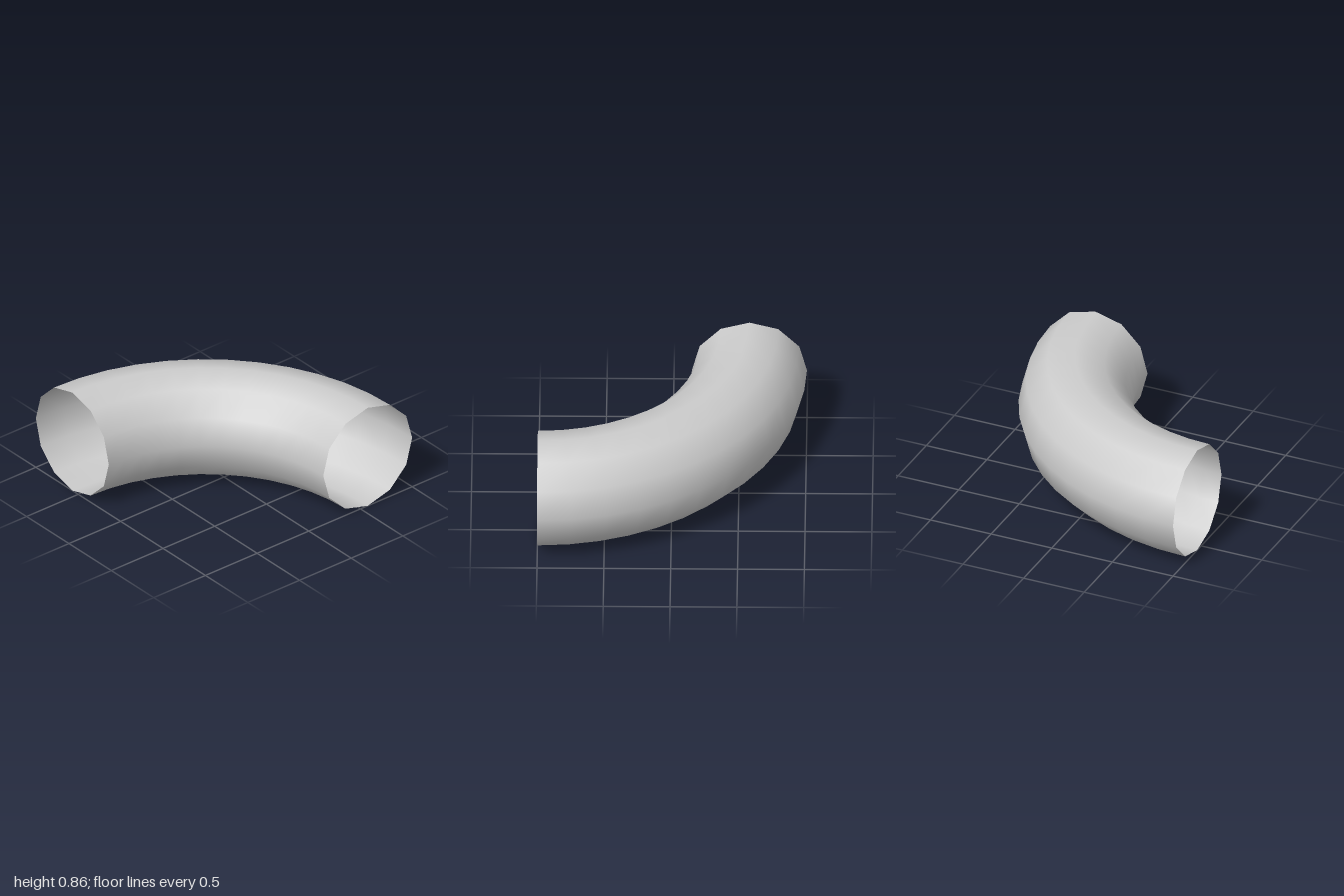
import * as THREE from 'three';

export function createModel() {
  const group = new THREE.Group();
  group.name = 'pipeElbow';

  const tubeRadius = 0.43;
  const bendRadius = 2 - tubeRadius;

  // Open quarter bend: 12-sided tube swept through 12 steps
  const geometry = new THREE.TorusGeometry(bendRadius, tubeRadius, 12, 12, Math.PI / 2);
  geometry.rotateX(-Math.PI / 2);
  geometry.translate(-1, tubeRadius, 1);

  const material = new THREE.MeshStandardMaterial({ color: 0xcccccc, side: THREE.DoubleSide });
  const bend = new THREE.Mesh(geometry, material);
  bend.name = 'bentPipe';
  group.add(bend);

  return group;
}
